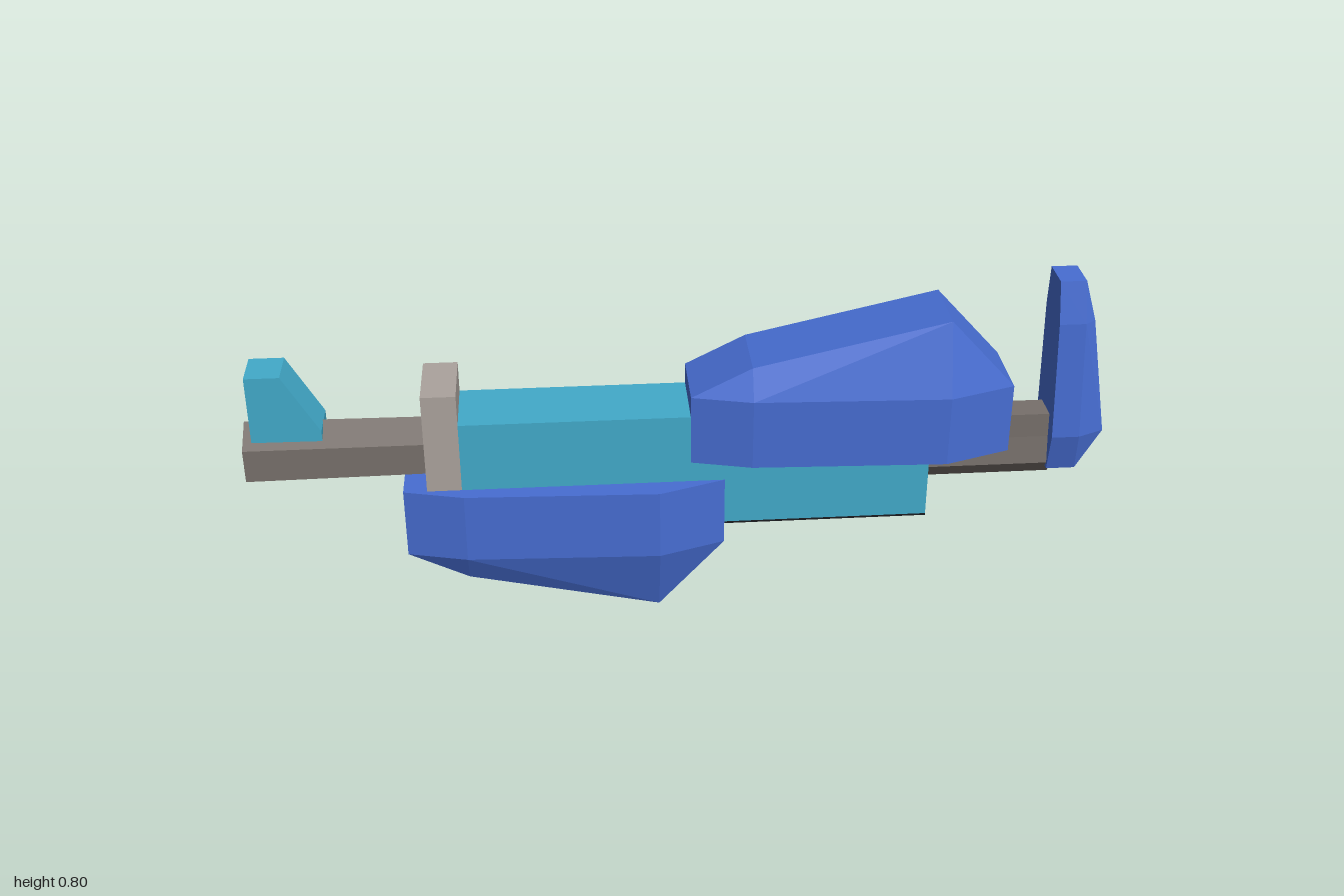
import * as THREE from 'three';

const paint = (name, color) => {
  const m = new THREE.MeshStandardMaterial({ color });
  m.name = name;
  return m;
};

export function createModel() {
  const blue = paint('blue shell', 0x476dd2);
  const navy = paint('dark navy', 0x27304a);
  const teal = paint('teal body', 0x42aaca);
  const taupe = paint('light taupe', 0xaba39d);
  const brown = paint('grey brown', 0x77706b);
  const black = paint('near black', 0x1a1b1e);

  const model = new THREE.Group();
  const add = (name, geometry, material) => {
    const mesh = new THREE.Mesh(geometry, material);
    mesh.name = name;
    model.add(mesh);
    return mesh;
  };

  // Faceted skin through equal-length rings of [x, y, z]; pick(i, j) gives the
  // material of facet j between rings i and i + 1, and i = -1 means an end cap.
  const loft = (name, rings, pick) => {
    const tris = [];
    const n = rings[0].length;
    const tri = (m, a, b, c) => {
      const v = [a, b, c].map(p => new THREE.Vector3(...p));
      const area = v[1].clone().sub(v[0]).cross(v[2].clone().sub(v[0])).length();
      if (area > 1e-7) tris.push({ m, v });
    };
    for (let i = 0; i < rings.length - 1; i++) {
      for (let j = 0; j < n; j++) {
        const k = (j + 1) % n, a = rings[i], b = rings[i + 1], m = pick(i, j);
        tri(m, a[j], b[j], b[k]);
        tri(m, a[j], b[k], a[k]);
      }
    }
    const first = rings[0], last = rings[rings.length - 1];
    for (let j = 1; j < n - 1; j++) {
      tri(pick(-1, j), first[0], first[j], first[j + 1]);
      tri(pick(-1, j), last[0], last[j + 1], last[j]);
    }
    // Turn everything outward when the rings run the other way
    const volume = tris.reduce((s, { v }) => s + v[0].dot(v[1].clone().cross(v[2])), 0);
    const materials = [...new Set(tris.map(t => t.m))];
    const positions = [];
    const geometry = new THREE.BufferGeometry();
    materials.forEach((m, index) => {
      const start = positions.length / 3;
      tris.filter(t => t.m === m).forEach(({ v }) => {
        const ordered = volume < 0 ? [v[0], v[2], v[1]] : v;
        ordered.forEach(p => positions.push(p.x, p.y, p.z));
      });
      geometry.addGroup(start, positions.length / 3 - start, index);
    });
    geometry.setAttribute('position', new THREE.Float32BufferAttribute(positions, 3));
    geometry.computeVertexNormals();
    return add(name, geometry, materials);
  };

  // Side profile in x and y, extruded evenly about z = 0
  const slab = (name, points, halfWidth, material) => {
    const shape = new THREE.Shape(points.map(p => new THREE.Vector2(...p)));
    const geometry = new THREE.ExtrudeGeometry(shape, { depth: halfWidth * 2, bevelEnabled: false });
    geometry.translate(0, 0, -halfWidth);
    return add(name, geometry, material);
  };

  // Stepped central body with its dark underside
  slab('body', [[-0.51, 0.34], [0.09, 0.34], [0.09, 0.225], [0.58, 0.225],
    [0.58, 0.4], [0.1, 0.4], [0.1, 0.51], [-0.51, 0.51]], 0.085, teal);
  const under = add('bodyUnderside', new THREE.BoxGeometry(0.49, 0.005, 0.17), black);
  under.position.set(0.335, 0.2225, 0);

  // Two faceted pods: the lower one is the upper one turned over and moved back
  const podStations = [[0.02, 0.085, 0.56], [0.16, 0.12, 0.63], [0.61, 0.138, 0.73], [0.765, 0.085, 0.56]];
  const pod = (name, place, pick) => loft(name, podStations.map(([x, w, top]) => [
    [0.39, -w], [0.39, w], [0.56, w], [top, 0.085], [top, -0.085], [0.56, -w],
  ].map(([y, z]) => place(x, y, z))), pick);
  pod('upperPod', (x, y, z) => [x, y, z], (i, j) => (i >= 0 && j === 0 ? navy : blue));
  pod('lowerPod', (x, y, z) => [x - 0.665, 0.73 - y, z],
    (i, j) => (i >= 0 && (j === 3 || (j === 4 && i < 2)) ? navy : blue));

  // Collar between the body and the barrel
  const collar = add('collar', new THREE.BoxGeometry(0.08, 0.245, 0.17), taupe);
  collar.position.set(-0.55, 0.4625, 0);

  // Six-sided barrel with a dark mouth
  let barrel = new THREE.CylinderGeometry(0.08, 0.076, 0.42, 6).toNonIndexed();
  barrel.rotateY(Math.PI / 2);
  barrel.rotateZ(Math.PI / 2);
  barrel.computeVertexNormals();
  add('barrel', barrel, [brown, black, brown]).position.set(-0.79, 0.415, 0);

  // Sight on the barrel
  slab('sight', [[-0.98, 0.45], [-0.82, 0.45], [-0.82, 0.49], [-0.9, 0.63], [-0.98, 0.63]], 0.05, teal);

  // Rear rod with a keel, and the smaller block above it
  const keel = [[0.28, 0], [0.325, 0.04], [0.395, 0.035], [0.395, -0.035], [0.325, -0.04]];
  loft('rearRod', [0.55, 0.89].map(x => keel.map(([y, z]) => [x, y, z])), () => brown);
  const block = add('rearBlock', new THREE.BoxGeometry(0.18, 0.075, 0.07), brown);
  block.position.set(0.79, 0.4175, 0);

  // Upright end plate with a dark outer face: y, inner x, crease x, outer x, half width
  const plate = [[0.8, 0.86, 0.92, 0.92, 0.042], [0.7, 0.863, 0.925, 0.95, 0.06],
    [0.41, 0.872, 0.937, 1, 0.07], [0.31, 0.875, 0.943, 0.943, 0.042]];
  loft('endPlate', plate.map(([y, xi, xc, xo, w]) => [
    [xi, y, -w], [xi, y, w], [xc, y, w], [xo, y, 0.042], [xo, y, -0.042], [xc, y, -w],
  ]), (i, j) => (i >= 0 && j === 3 ? navy : blue));

  return model;
}
